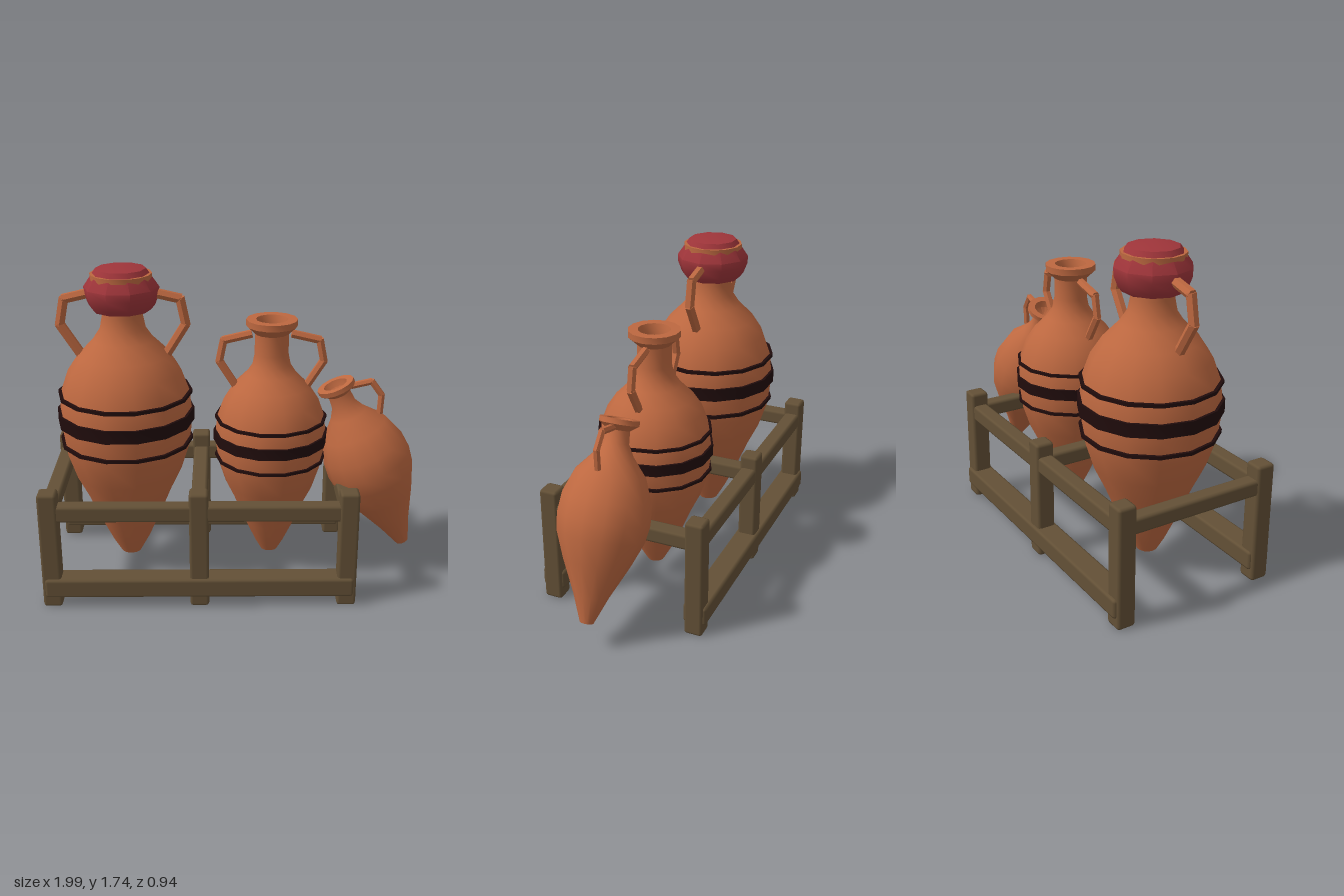
import * as THREE from 'three';
import { toCreasedNormals } from 'three/addons/utils/BufferGeometryUtils.js';
import { RoundedBoxGeometry } from 'three/addons/geometries/RoundedBoxGeometry.js';

const material = (name, color) => {
  const m = new THREE.MeshStandardMaterial({ color });
  m.name = name;
  return m;
};

export function createModel() {
  const clay = material('terracotta', 0xbd6840);
  const paint = material('dark paint', 0x200c0c);
  const wood = material('wood', 0x635036);
  const cloth = material('red cloth', 0x9f353a);

  const model = new THREE.Group();
  model.name = 'amphoraRack';

  const add = (parent, name, geometry, mat, x = 0, y = 0, z = 0) => {
    const mesh = new THREE.Mesh(geometry, mat);
    mesh.name = name;
    mesh.position.set(x, y, z);
    parent.add(mesh);
    return mesh;
  };

  // Turned shape from [radius, height] pairs, with a corner on the x axis
  const turned = (profile, sides) => {
    const g = new THREE.LatheGeometry(profile.map(([r, y]) => new THREE.Vector2(r, y)), sides);
    g.rotateY(Math.PI / 2);
    return toCreasedNormals(g, 0.75);
  };

  // Handle made of straight six-sided rods between points
  const addHandle = (parent, name, points, radius) => {
    const handle = new THREE.Group();
    handle.name = name;
    const pts = points.map((p) => new THREE.Vector3(...p));
    for (let i = 0; i < pts.length - 1; i++) {
      const dir = pts[i + 1].clone().sub(pts[i]);
      const rod = add(handle, 'handleRod', toCreasedNormals(
        new THREE.CylinderGeometry(radius, radius, dir.length() + radius * 0.5, 6), 0.5), clay);
      rod.position.copy(pts[i]).addScaledVector(dir, 0.5);
      rod.quaternion.setFromUnitVectors(new THREE.Vector3(0, 1, 0), dir.normalize());
    }
    parent.add(handle);
  };

  // Wooden rack
  const rack = new THREE.Group();
  rack.name = 'rack';
  model.add(rack);
  const beam = (name, w, h, d, x, y, z) =>
    add(rack, name, new RoundedBoxGeometry(w, h, d, 1, 0.016), wood, x, y, z);
  const postX = [-0.945, -0.17, 0.605];
  for (const x of postX) {
    for (const side of [1, -1]) beam('post', 0.1, 0.65, 0.1, x, 0.325, side * 0.405);
    beam('crossRail', 0.085, 0.085, 0.76, x, 0.532, 0);
  }
  for (const side of [1, -1]) {
    beam('upperRail', 1.6, 0.09, 0.085, -0.17, 0.535, side * 0.405);
    beam('lowerRail', 1.62, 0.105, 0.127, -0.17, 0.113, side * 0.406);
  }

  // Large banded jars
  const jarProfile = [
    [0, 0.1], [0.055, 0.1], [0.1, 0.18], [0.165, 0.32], [0.232, 0.48], [0.29, 0.6],
    [0.335, 0.74], [0.35, 0.86], [0.352, 0.96], [0.34, 1.06], [0.3, 1.17], [0.24, 1.26],
    [0.16, 1.34], [0.12, 1.4], [0.106, 1.47], [0.106, 1.6], [0.16, 1.65], [0.16, 1.69],
    [0.1, 1.69], [0.085, 1.64], [0.08, 1.58], [0, 1.57],
  ];
  const bands = [[0.357, 0.787, 0.018], [0.366, 0.925, 0.07], [0.357, 1.05, 0.018]];
  const handlePath = [[0.13, 1.595], [0.3, 1.555], [0.327, 1.42], [0.23, 1.265]];
  const addJar = (name, x, y, scale) => {
    const jar = new THREE.Group();
    jar.name = name;
    jar.position.set(x, y, 0);
    jar.scale.setScalar(scale);
    add(jar, 'jarBody', turned(jarProfile, 14), clay);
    for (const [r, h, t] of bands) {
      add(jar, 'paintedBand', turned([[0.32, h - t / 2], [r, h - t / 2], [r, h + t / 2], [0.32, h + t / 2]], 14), paint);
    }
    for (const side of [1, -1]) {
      addHandle(jar, side > 0 ? 'leftHandle' : 'rightHandle', handlePath.map(([px, py]) => [side * px, py, 0]), 0.027);
    }
    model.add(jar);
    return jar;
  };
  const tallJar = addJar('tallJar', -0.563, 0, 1);
  addJar('middleJar', 0.213, 0.022, 0.842);

  // Cloth cover tied over the mouth of the tall jar
  add(tallJar, 'clothCover', turned([
    [0, 1.5], [0.152, 1.5], [0.172, 1.525], [0.193, 1.58], [0.195, 1.62], [0.13, 1.715], [0, 1.74],
  ], 10), cloth);

  // Small jar leaning against the rack
  const leaning = new THREE.Group();
  leaning.name = 'leaningJar';
  model.add(leaning);
  const body = add(leaning, 'leaningJarBody', turned([
    [0, 0], [0.035, 0], [0.09, 0.14], [0.17, 0.31], [0.222, 0.44], [0.235, 0.53],
    [0.226, 0.626], [0.18, 0.745], [0.1, 0.84], [0.066, 0.9], [0.06, 0.965], [0.102, 0.995],
    [0.102, 1.02], [0.065, 1.02], [0.055, 0.985], [0, 0.95],
  ], 14), clay, 0.963, 0.16, 0.03);
  body.rotation.z = 0.415;
  addHandle(leaning, 'leaningJarHandle',
    [[0.64, 1.085, 0.025], [0.745, 1.11, 0.027], [0.8, 1.035, 0.03], [0.795, 0.935, 0.03]], 0.018);

  return model;
}
